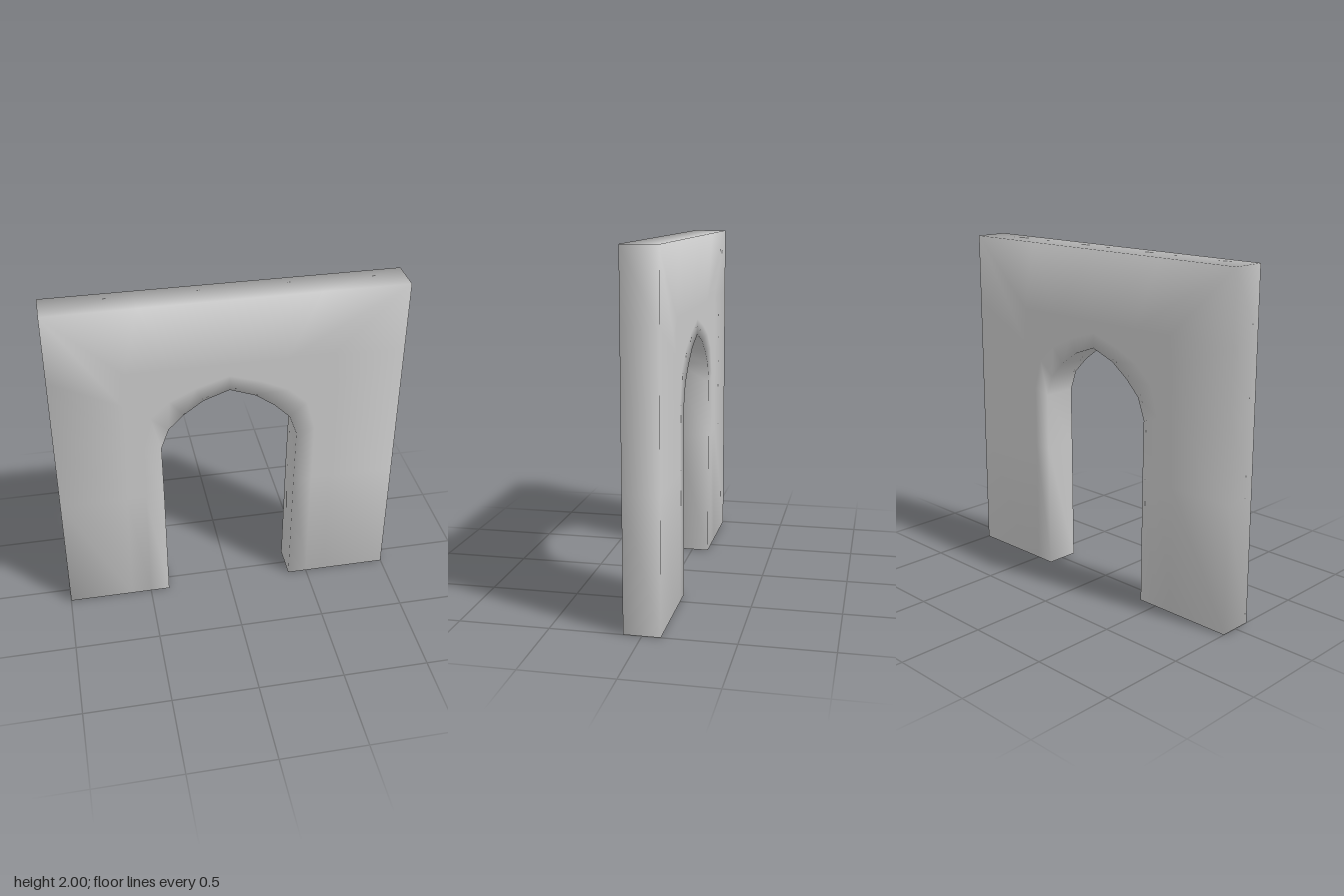
import * as THREE from 'three';

// Half of the arch, from the foot to the crown. Each station runs from the
// outer edge to the opening: outer, middle, near the opening, opening.
const HALF = [
  [[1, 0], [0.62, 0], [0.5, 0], [0.385, 0]],
  [[1, 0.75], [0.61, 0.75], [0.5, 0.75], [0.39, 0.75]],
  [[1, 1.2], [0.6, 1.15], [0.5, 1.12], [0.395, 1.09]],
  [[1, 1.6], [0.6, 1.4], [0.45, 1.3], [0.35, 1.215]],
  [[1, 2], [0.58, 1.6], [0.34, 1.4], [0.26, 1.305]],
  [[0.5, 2], [0.32, 1.6], [0.19, 1.47], [0.15, 1.385]],
  [[0, 2], [0, 1.6], [0, 1.53], [0, 1.44]],
];
const HALF_DEPTH = 0.1;

// Loft closed sections along the arch; shared vertices give soft shading.
function archGeometry() {
  const mirrored = HALF.slice(0, -1).reverse().map(s => s.map(([x, y]) => [-x, y]));
  const stations = [...HALF, ...mirrored];
  const positions = [];
  for (const s of stations) {
    for (const [x, y] of s) positions.push(x, y, HALF_DEPTH);
    for (const [x, y] of [...s].reverse()) positions.push(x, y, -HALF_DEPTH);
  }

  const index = [];
  const quad = (a, b, c, d) => index.push(a, b, c, a, c, d);
  const ring = 8;
  const last = (stations.length - 1) * ring;
  for (let s = 0; s < last; s += ring) {
    for (let k = 0; k < ring; k++) {
      const n = (k + 1) % ring;
      quad(s + k, s + ring + k, s + ring + n, s + n);
    }
  }
  // Undersides of the two feet
  for (let k = 0; k < 3; k++) {
    quad(k, k + 1, 6 - k, 7 - k);
    quad(last + k, last + 7 - k, last + 6 - k, last + k + 1);
  }

  const geometry = new THREE.BufferGeometry();
  geometry.setAttribute('position', new THREE.Float32BufferAttribute(positions, 3));
  geometry.setIndex(index);
  geometry.computeVertexNormals();
  return geometry;
}

export function createModel() {
  const group = new THREE.Group();
  group.name = 'archway';
  const wall = new THREE.Mesh(archGeometry(), new THREE.MeshStandardMaterial({ color: 0xcccccc }));
  wall.name = 'archedWall';
  group.add(wall);
  return group;
}
